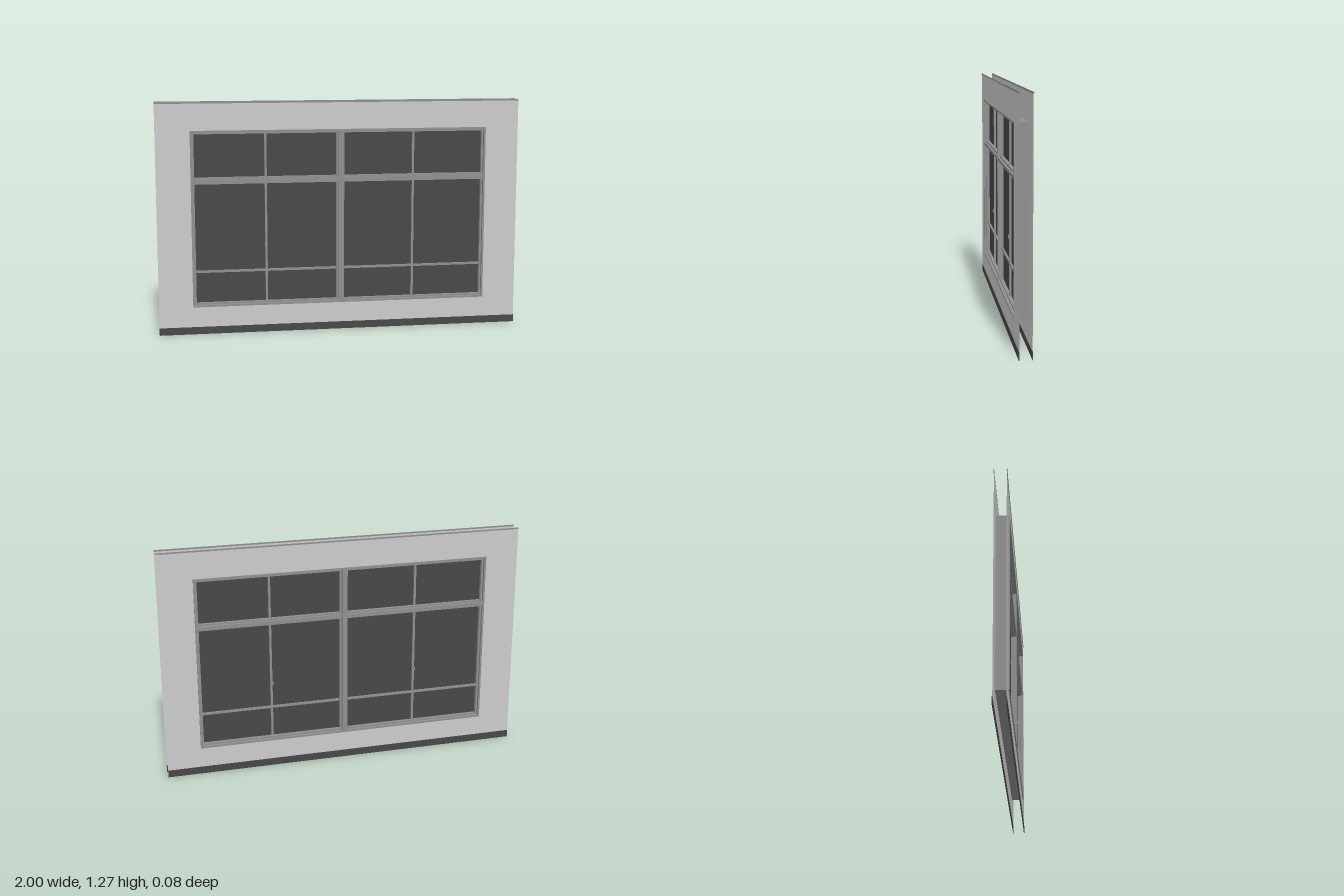
import * as THREE from 'three';

const W = 1, H = 1.27, WALL_Z = 0.032;              // wall half width, height, sheet offset
const X = 0.815, Y0 = 0.152, Y1 = 1.117;            // window opening
const POST = 0.012, TR0 = 0.836, TR1 = 0.853;       // centre post half width, transom

export function createModel() {
  const group = new THREE.Group();
  group.name = 'windowWall';
  const wallMat = new THREE.MeshStandardMaterial({ color: 0xcccccc, side: THREE.DoubleSide });
  const frameMat = new THREE.MeshStandardMaterial({ color: 0x909090 });
  const darkMat = new THREE.MeshStandardMaterial({ color: 0x484848 });

  // box given by its x and y limits, its depth and its centre in z
  const bar = (name, x0, x1, y0, y1, depth, mat = frameMat, z = 0) => {
    const m = new THREE.Mesh(new THREE.BoxGeometry(x1 - x0, y1 - y0, depth), mat);
    m.position.set((x0 + x1) / 2, (y0 + y1) / 2, z);
    m.name = name;
    group.add(m);
  };

  // rectangular ring, extruded in z
  const rectPath = (P, x0, x1, y0, y1) => {
    const p = new P();
    p.moveTo(x0, y0).lineTo(x1, y0).lineTo(x1, y1).lineTo(x0, y1).closePath();
    return p;
  };
  const ring = (name, x0, x1, y0, y1, t, depth) => {
    const s = rectPath(THREE.Shape, x0, x1, y0, y1);
    s.holes.push(rectPath(THREE.Path, x0 + t, x1 - t, y0 + t, y1 - t));
    const g = new THREE.ExtrudeGeometry(s, { depth, bevelEnabled: false });
    g.translate(0, 0, -depth / 2);
    const m = new THREE.Mesh(g, frameMat);
    m.name = name;
    group.add(m);
  };

  // two thin wall sheets, each with skirting and a top trim
  const wall = rectPath(THREE.Shape, -W, W, 0, H);
  wall.holes.push(rectPath(THREE.Path, -X, X, Y0, Y1));
  const wallGeo = new THREE.ShapeGeometry(wall);
  for (const s of [1, -1]) {
    const m = new THREE.Mesh(wallGeo, wallMat);
    m.name = s > 0 ? 'frontWall' : 'backWall';
    m.position.z = s * WALL_Z;
    if (s < 0) m.rotation.y = Math.PI;
    group.add(m);
    bar('skirting', -W, W, 0, 0.04, 0.003, darkMat, s * (WALL_Z + 0.001));
    bar('topTrim', -W, W, H - 0.008, H, 0.003, frameMat, s * (WALL_Z + 0.001));
  }

  // outer frame, centre post and transom
  const T = 0.01;
  ring('outerFrame', -X, X, Y0, Y1, T, 0.075);
  bar('centrePost', -POST, POST, Y0 + T, Y1 - T, 0.07);
  for (const s of [-1, 1]) {
    const a = s < 0 ? -X + T : POST, b = s < 0 ? -POST : X - T;
    bar('transom', a, b, TR0, TR1, 0.068);

    // sashes above and below the transom, with glass and thin glazing bars
    for (const [y0, y1] of [[Y0 + T, TR0], [TR1, Y1 - T]]) {
      ring('sash', a, b, y0, y1, T, 0.045);
      bar('glass', a + T, b - T, y0 + T, y1 - T, 0.008, darkMat);
      bar('mullion', s * 0.409 - 0.006, s * 0.409 + 0.006, y0 + T, y1 - T, 0.03);
    }
    bar('glazingBar', a + T, b - T, 0.338, 0.35, 0.028);

    // small handles on both faces
    for (const f of [-1, 1])
      bar('handle', s * 0.409 - 0.009, s * 0.409 - 0.003, 0.475, 0.495, 0.006, frameMat, f * 0.017);
  }
  return group;
}
